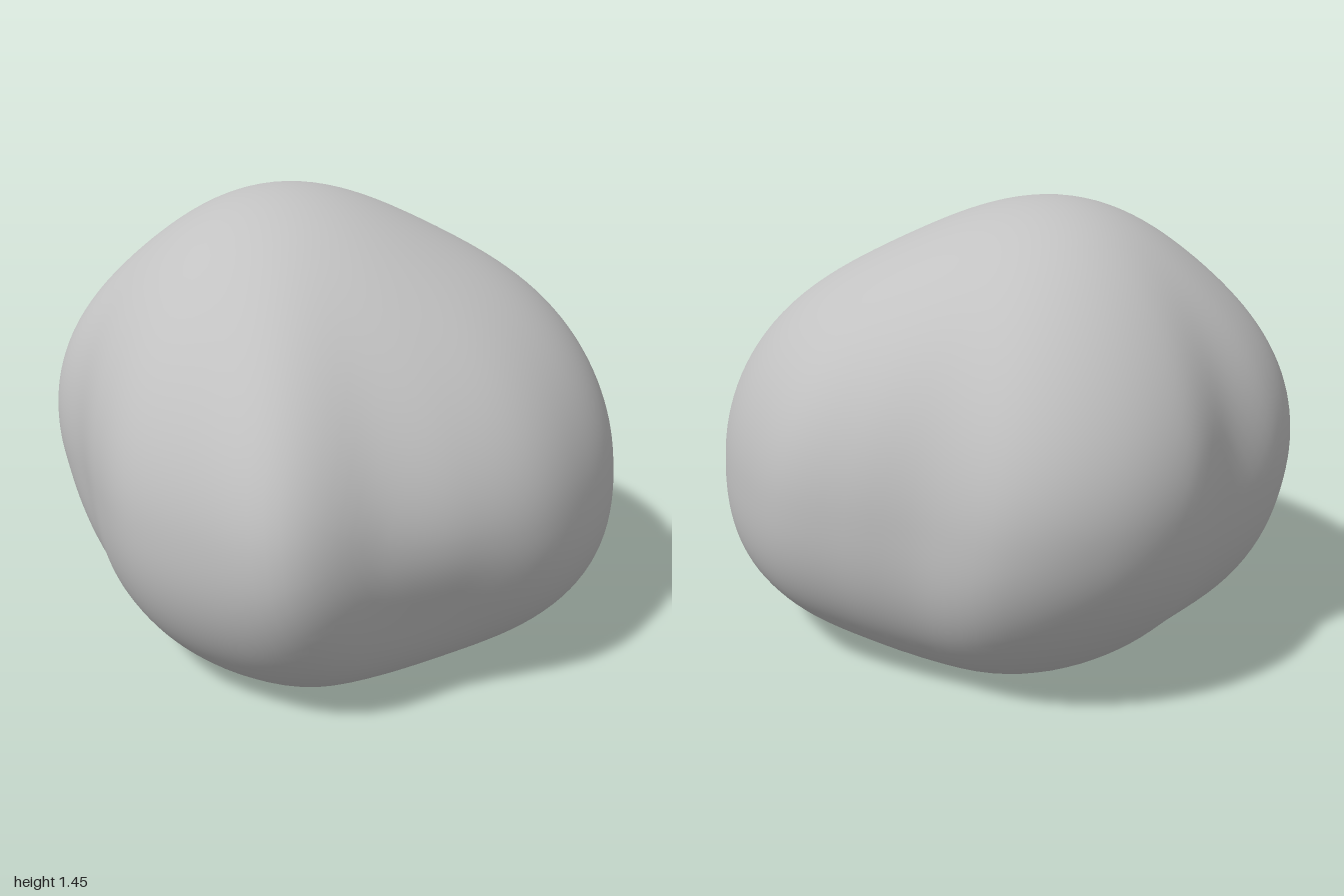
import * as THREE from 'three';
import { toCreasedNormals } from 'three/addons/utils/BufferGeometryUtils.js';

// Radius of the widest outline, every 15 degrees from +x towards +z
const OUTLINE = [
  1.0, 0.985, 0.99, 1.09, 1.02, 0.975, 0.9, 0.865, 0.92, 0.935, 0.96, 0.96,
  0.92, 1.015, 1.06, 1.04, 0.92, 0.92, 0.955, 0.95, 0.96, 0.98, 0.99, 0.99,
];
const outlineCurve = new THREE.CatmullRomCurve3(
  OUTLINE.map((r, i) => new THREE.Vector3(r, i * 1e-6, 0)), true, 'catmullrom', 0.5);

const WAIST = 0.6;      // height of the widest section
const TOP = 0.825;      // rise above the waist
const BOTTOM = 0.68;    // depth below the waist, before the flat base cuts it

// Hollows low on the sides: direction, depth and spread
const HOLLOWS = [
  { dir: new THREE.Vector3(-0.57, -0.34, 0.75).normalize(), depth: 0.045, spread: 0.3 },
  { dir: new THREE.Vector3(0.87, -0.4, 0.3).normalize(), depth: 0.05, spread: 0.22 },
];

// Moves a point of the unit sphere onto the boulder
function shapePoint(p) {
  p.normalize();
  const c = Math.hypot(p.x, p.z);
  const turn = (Math.atan2(p.z, p.x) / (2 * Math.PI) + 1) % 1;
  const edge = c ** 4;
  const radius = THREE.MathUtils.lerp(0.955, outlineCurve.getPoint(turn).x, edge);

  // round above the waist, fuller below it
  const [rise, power] = p.y > 0 ? [TOP, 2] : [BOTTOM, 2.5];
  const fullness = (c ** power + Math.abs(p.y) ** power) ** (-1 / power);
  const q = new THREE.Vector3(p.x * radius, p.y * rise, p.z * radius).multiplyScalar(fullness);

  // diagonal ridges and grooves running over the body
  const d = (q.x - q.z) / Math.SQRT2;
  let push = 0.03 * Math.cos(2 * Math.PI * (d + 0.12) / 1.25) * (1 - edge);
  for (const { dir, depth, spread } of HOLLOWS) {
    push -= depth * Math.exp(-p.distanceToSquared(dir) / (2 * spread * spread));
  }
  q.addScaledVector(p, push);

  // lean, then cut flat at the ground
  q.x -= 0.13 * q.y;
  q.y = Math.max(0, q.y + WAIST);
  return q;
}

export function createModel() {
  const group = new THREE.Group();
  group.name = 'boulder';

  const stone = new THREE.MeshStandardMaterial({ color: 0xc2c2c2 });
  stone.name = 'stone grey';

  // Rock body
  const geometry = new THREE.IcosahedronGeometry(1, 24);
  geometry.deleteAttribute('uv');
  const pos = geometry.attributes.position;
  const p = new THREE.Vector3();
  for (let i = 0; i < pos.count; i++) {
    const q = shapePoint(p.fromBufferAttribute(pos, i));
    pos.setXYZ(i, q.x, q.y, q.z);
  }

  const rock = new THREE.Mesh(toCreasedNormals(geometry, 0.6), stone);
  rock.name = 'rockBody';
  group.add(rock);
  return group;
}
